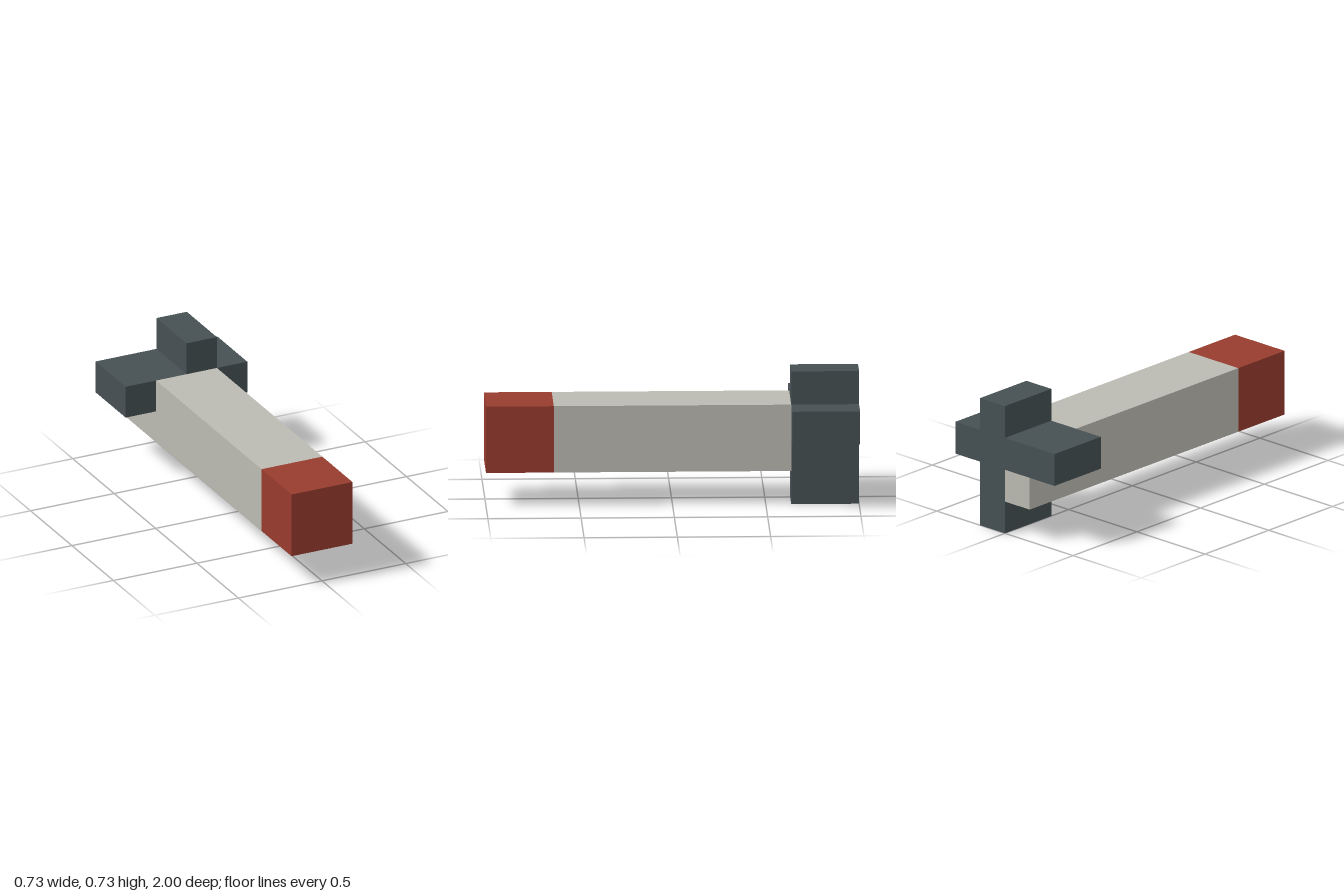
import * as THREE from 'three';

const U = 2 / 11; // one block unit

function material(name, color) {
  const m = new THREE.MeshStandardMaterial({ color });
  m.name = name;
  return m;
}

// Box given by its minimum and maximum corners, in block units
function block(name, mat, min, max) {
  const size = max.map((v, i) => (v - min[i]) * U);
  const mesh = new THREE.Mesh(new THREE.BoxGeometry(...size), mat);
  mesh.position.set(...max.map((v, i) => (v + min[i]) * U / 2));
  mesh.name = name;
  return mesh;
}

export function createModel() {
  const red = material('brick red', 0x983b2e);
  const grey = material('warm grey', 0xbcbbb2);
  const dark = material('dark slate', 0x465053);
  const group = new THREE.Group();
  group.name = 'finnedShaft';

  // Square shaft with a red tip
  group.add(block('tip', red, [-1, 1, 3.5], [1, 3, 5.5]));
  group.add(block('shaft', grey, [-1, 1, -3.5], [1, 3, 3.5]));
  // Rear end of the shaft, showing between the fins
  group.add(block('shaftEnd', grey, [-1, 1, -5.5], [0, 2, -3.5]));

  // Cross-shaped tail fins
  const outline = [
    [0, 0], [1, 0], [1, 2], [2, 2], [2, 3], [1, 3],
    [1, 4], [0, 4], [0, 3], [-2, 3], [-2, 2], [0, 2],
  ].map(([x, y]) => new THREE.Vector2(x * U, y * U));
  const fins = new THREE.Mesh(
    new THREE.ExtrudeGeometry(new THREE.Shape(outline), { depth: 2 * U, bevelEnabled: false }),
    dark,
  );
  fins.position.z = -5.5 * U;
  fins.name = 'tailFins';
  group.add(fins);

  return group;
}
